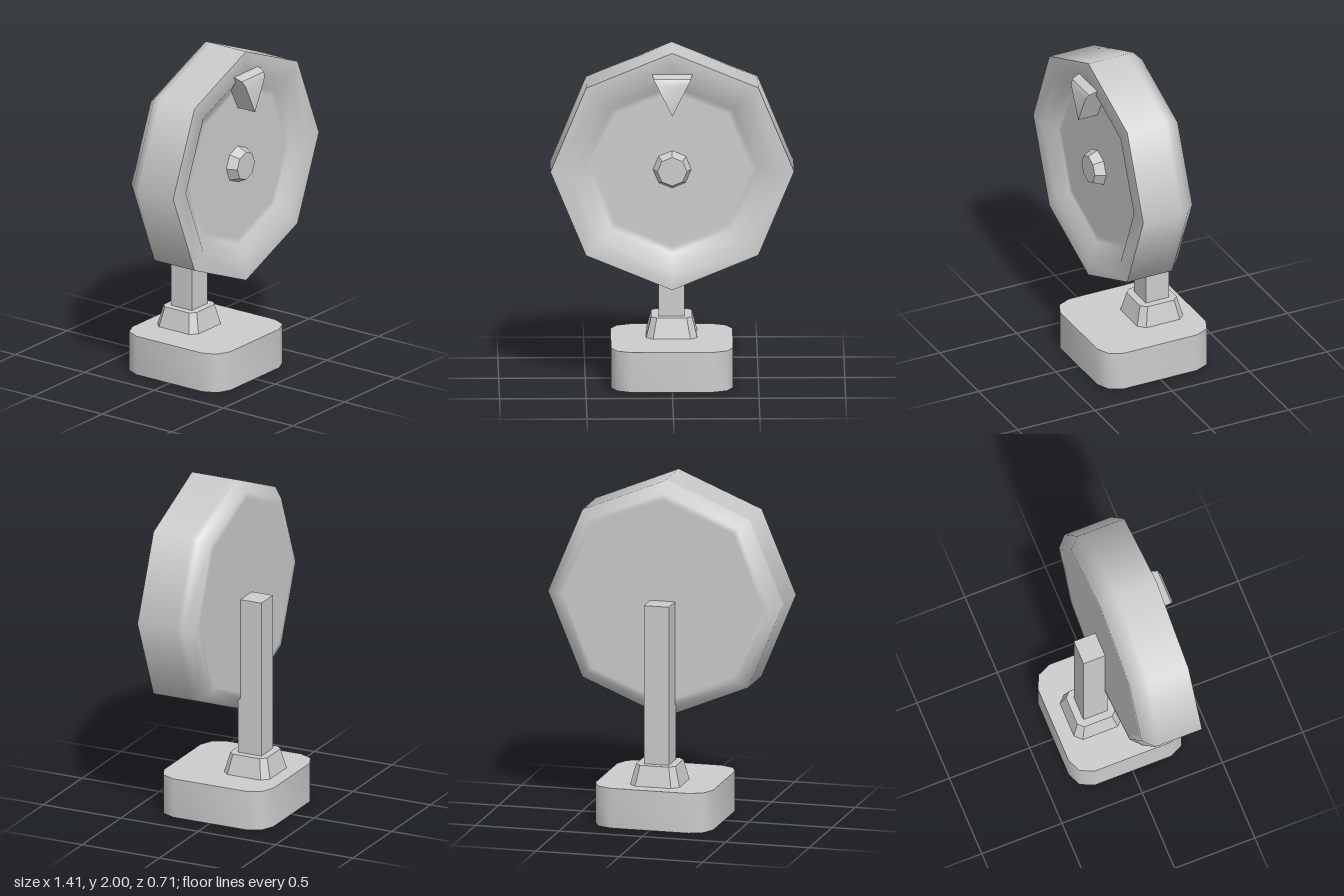
import * as THREE from 'three';
import { toCreasedNormals } from 'three/addons/utils/BufferGeometryUtils.js';

const CENTRE_Y = 1.297; // height of the dial axis
const POST_Z = -0.12;

const grey = new THREE.MeshStandardMaterial({ color: 0xcccccc });
grey.name = 'plain grey';

const vectors = (list) => list.map(([x, y]) => new THREE.Vector2(x, y));

// Upright block with cut corners; corner lists the [along, across] insets of one corner
function cutBlock(half, height, corner, taper, crease) {
  const pts = [];
  for (let i = 0; i < 4; i++) {
    for (const [a, b] of corner) {
      const p = new THREE.Vector2(half - a, half - b);
      pts.push(p.rotateAround(new THREE.Vector2(), (i * Math.PI) / 2));
    }
  }
  const geo = new THREE.ExtrudeGeometry(new THREE.Shape(pts), { depth: height, bevelEnabled: false });
  geo.rotateX(-Math.PI / 2);
  const pos = geo.attributes.position;
  for (let i = 0; i < pos.count; i++) {
    const k = pos.getY(i) > height / 2 ? taper : 1;
    pos.setX(i, pos.getX(i) * k);
    pos.setZ(i, pos.getZ(i) * k);
  }
  return toCreasedNormals(geo, crease);
}

// Eight-sided lathe turned to face +z
function octagonLathe(profile) {
  return new THREE.LatheGeometry(vectors(profile), 8).rotateX(Math.PI / 2);
}

// Triangular marker: side profile extruded, then narrowed to a tip at the bottom
function pointerGeometry() {
  const tip = 1.643, top = 1.876;
  const side = vectors([[0.2, tip], [0.355, tip], [0.355, 1.825], [0.34, 1.857], [0.29, top], [0.2, top]]);
  const geo = new THREE.ExtrudeGeometry(new THREE.Shape(side), { depth: 2, bevelEnabled: false });
  geo.translate(0, 0, -1).rotateY(-Math.PI / 2);
  const pos = geo.attributes.position;
  for (let i = 0; i < pos.count; i++) {
    const half = Math.max(0.001, (0.117 * (pos.getY(i) - tip)) / (top - tip));
    pos.setX(i, pos.getX(i) * half);
  }
  return toCreasedNormals(geo, 0.6);
}

export function createModel() {
  const model = new THREE.Group();
  model.name = 'dialOnStand';
  const add = (name, geo, x = 0, y = 0, z = 0) => {
    const mesh = new THREE.Mesh(geo, grey);
    mesh.name = name;
    mesh.position.set(x, y, z);
    model.add(mesh);
  };

  // Stand
  add('base', cutBlock(0.353, 0.237, [[0, 0.117], [0.036, 0.036], [0.117, 0]], 1, 0.9));
  add('collar', cutBlock(0.148, 0.12, [[0, 0.04], [0.04, 0]], 0.8, 0.5), 0, 0.236, POST_Z);
  add('post', new THREE.BoxGeometry(0.15, 0.96, 0.15), 0, 0.817, POST_Z);

  // Dial housing with bevelled back, and the dished face
  add('dialHousing', octagonLathe([[0, -0.06], [0.6, -0.06], [0.64, -0.06], [0.704, 0], [0.704, 0.04], [0.704, 0.29]]), 0, CENTRE_Y);
  add('dialFace', octagonLathe([[0.704, 0.29], [0.583, 0.29], [0.5, 0.23], [0.46, 0.23], [0, 0.23]]), 0, CENTRE_Y);

  // Hub and top marker
  const hub = new THREE.CylinderGeometry(0.085, 0.115, 0.07, 8).rotateX(Math.PI / 2);
  add('hub', toCreasedNormals(hub, 0.5), 0, CENTRE_Y, 0.255);
  add('pointer', pointerGeometry());
  return model;
}
